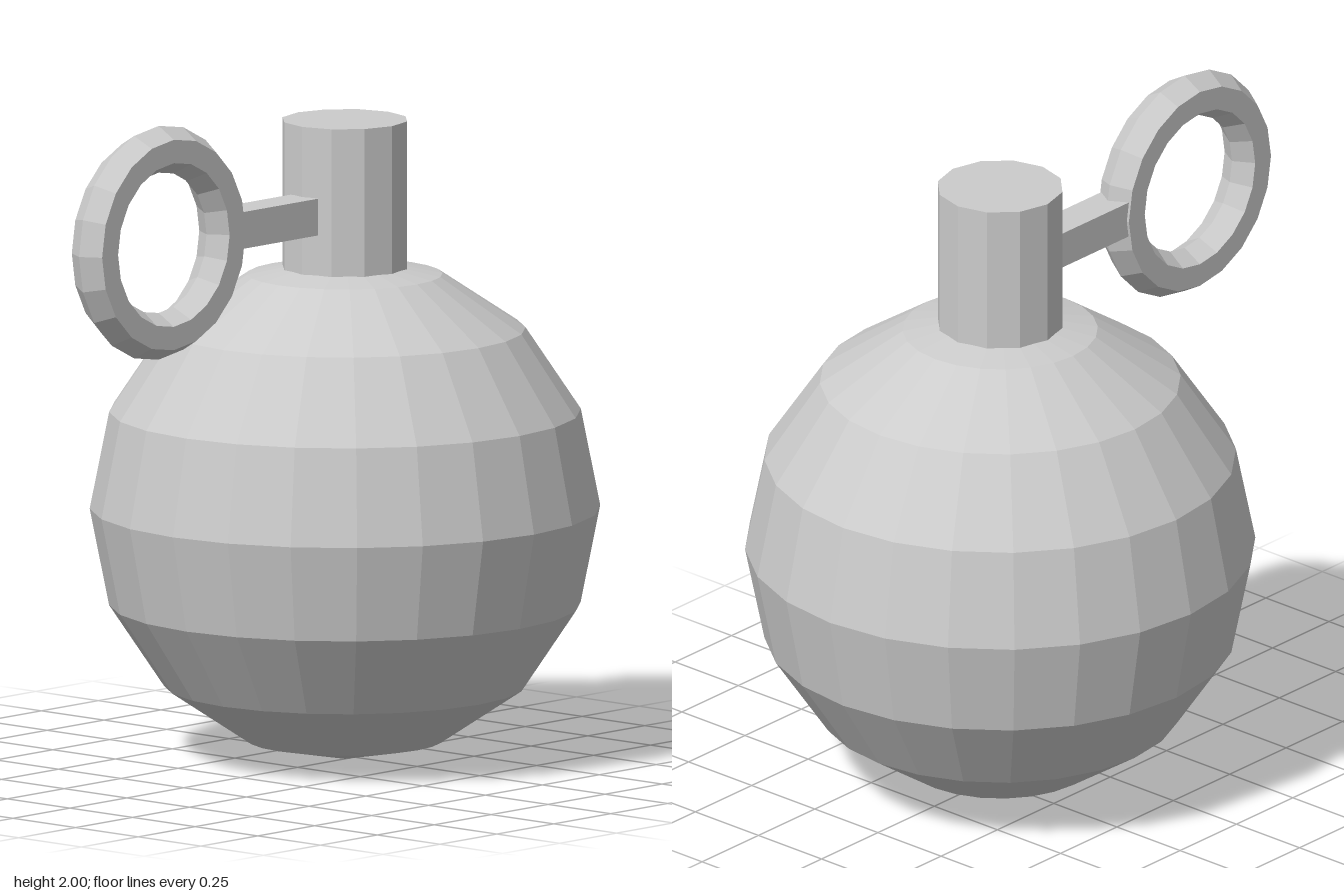
import * as THREE from 'three';

const material = new THREE.MeshStandardMaterial({ color: 0xcccccc, flatShading: true });

function addPart(group, name, geometry, x, y, z) {
  const mesh = new THREE.Mesh(geometry, material);
  mesh.name = name;
  mesh.position.set(x, y, z);
  group.add(mesh);
  return mesh;
}

export function createModel() {
  const group = new THREE.Group();
  group.name = 'roundFlaskWithRing';
  const axisZ = -0.208;

  // Faceted round body
  addPart(group, 'body', new THREE.SphereGeometry(0.755, 24, 8), 0, 0.76, axisZ);

  // Twelve-sided neck, sunk into the top of the body
  addPart(group, 'neck', new THREE.CylinderGeometry(0.188, 0.188, 0.52, 12), 0, 1.66, axisZ);

  // Square bar joining the neck to the ring
  addPart(group, 'ringBar', new THREE.BoxGeometry(0.11, 0.11, 0.35), 0, 1.655, 0.145);

  // Pull ring with a six-sided section, standing in the front-to-back plane
  const ring = addPart(group, 'pullRing', new THREE.TorusGeometry(0.28, 0.07, 6, 20), 0, 1.65, 0.61);
  ring.rotation.y = Math.PI / 2;

  return group;
}
